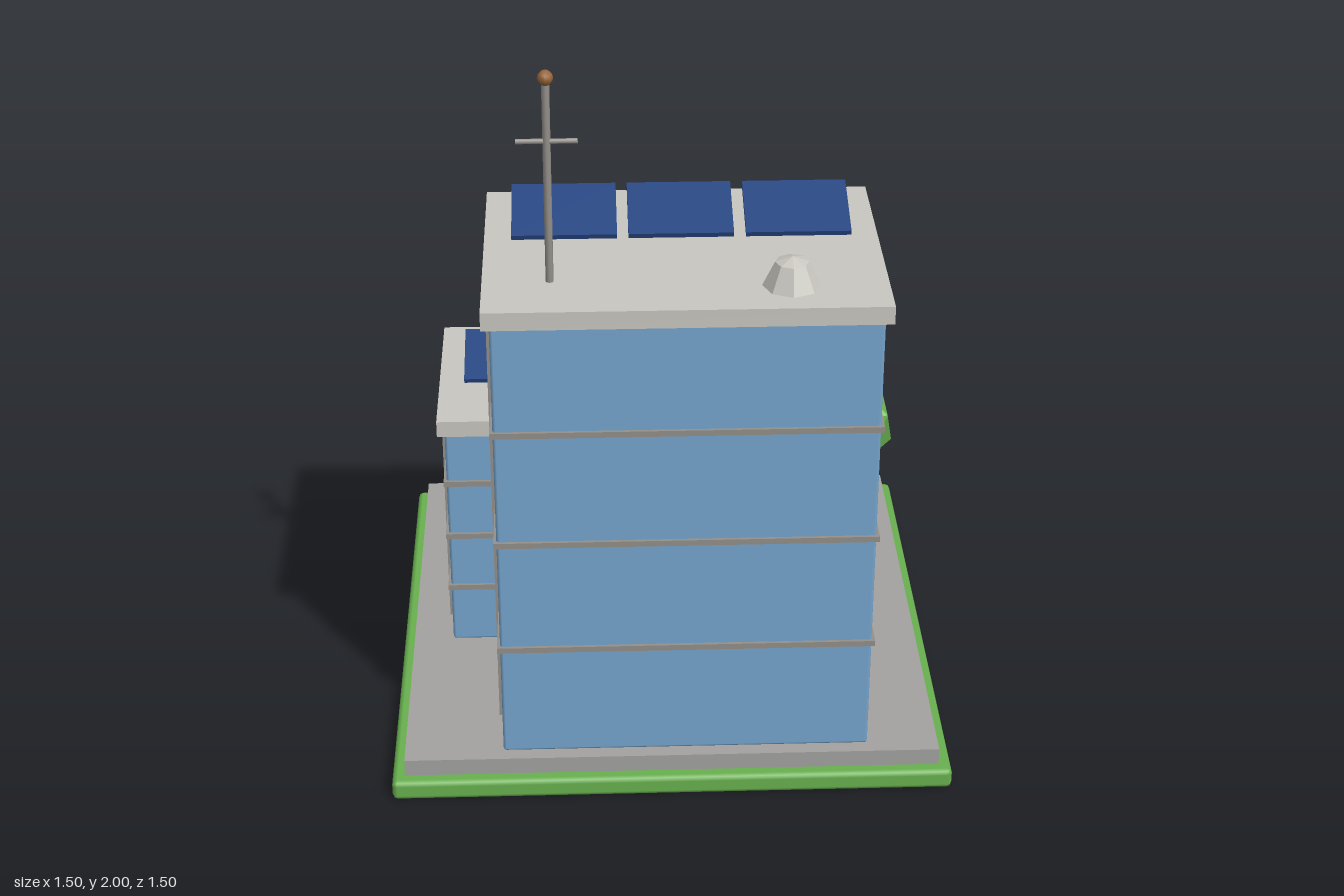
import * as THREE from 'three';
import { RoundedBoxGeometry } from 'three/addons/geometries/RoundedBoxGeometry.js';
import { ConvexGeometry } from 'three/addons/geometries/ConvexGeometry.js';

const material = (name, color) => {
  const m = new THREE.MeshStandardMaterial({ color });
  m.name = name;
  return m;
};

export function createModel() {
  const green = material('leaf green', 0x68b04e);
  const paving = material('paving grey', 0xa3a2a0);
  const glass = material('glass blue', 0x76a5ce);
  const darkGlass = material('entrance blue', 0x4c78b0);
  const concrete = material('roof concrete', 0xc9c7c0);
  const metal = material('metal grey', 0x94908b);
  const solar = material('solar navy', 0x274682);
  const wood = material('wood brown', 0x976639);

  const model = new THREE.Group();
  model.name = 'officeBuilding';

  const add = (parent, name, geometry, mat, x = 0, y = 0, z = 0) => {
    const mesh = new THREE.Mesh(geometry, mat);
    mesh.name = name;
    mesh.position.set(x, y, z);
    parent.add(mesh);
    return mesh;
  };
  const group = (name) => {
    const g = new THREE.Group();
    g.name = name;
    model.add(g);
    return g;
  };
  // Box given by its ranges on each axis; bevel chamfers the edges
  const box = (parent, name, mat, [x0, x1], [y0, y1], [z0, z1], bevel = 0) => {
    const size = [x1 - x0, y1 - y0, z1 - z0];
    const geo = bevel ? new RoundedBoxGeometry(...size, 1, bevel) : new THREE.BoxGeometry(...size);
    return add(parent, name, geo, mat, (x0 + x1) / 2, (y0 + y1) / 2, (z0 + z1) / 2);
  };

  // Ground
  box(model, 'lawnBase', green, [-0.75, 0.75], [0.005, 0.062], [-0.75, 0.75], 0.014);
  box(model, 'pavement', paving, [-0.716, 0.716], [0.06, 0.11], [-0.716, 0.716]);

  // Glass block with floor bands all round and mullions on the back and -x sides
  const block = (name, [x0, x1], [z0, z1], top, floorYs, roofHeight) => {
    const g = group(name);
    box(g, 'glassBody', glass, [x0, x1], [0.11, top], [z0, z1], 0.008);
    box(g, 'roofSlab', concrete, [x0 - 0.02, x1 + 0.02], [top - 0.005, top + roofHeight], [z0 - 0.016, z1 + 0.014]);
    for (const y of floorYs) {
      box(g, 'floorBand', metal, [x0 - 0.008, x1 + 0.008], [y - 0.008, y + 0.008], [z0 - 0.008, z1 + 0.008]);
    }
    for (const t of [0.25, 0.5, 0.75]) {
      const x = x0 + (x1 - x0) * t;
      const z = z0 + (z1 - z0) * t;
      box(g, 'backMullion', metal, [x - 0.007, x + 0.007], [0.11, top], [z0 - 0.012, z0 + 0.006]);
      box(g, 'sideMullion', metal, [x0 - 0.014, x0 + 0.006], [0.11, top], [z - 0.007, z + 0.007]);
    }
  };
  block('tower', [-0.452, 0.525], [0, 0.682], 1.392, [0.439, 0.762, 1.086], 0.044);
  block('annex', [-0.605, 0.07], [-0.38, 0.15], 0.79, [0.29, 0.46, 0.63], 0.042);

  // Entrance pavilion
  const entrance = group('entrance');
  box(entrance, 'entranceBody', darkGlass, [0.19, 0.56], [0.11, 0.492], [-0.32, -0.06], 0.008);
  box(entrance, 'entranceRoof', concrete, [0.165, 0.585], [0.49, 0.526], [-0.34, -0.042]);
  box(entrance, 'entrancePanel', metal, [0.3, 0.45], [0.235, 0.476], [-0.355, -0.318]);

  // Tilted solar panels
  const panels = group('solarPanels');
  const panelSpots = [
    [-0.265, 1.491, 0.23], [0.035, 1.491, 0.23], [0.337, 1.491, 0.23],
    [-0.418, 0.89, -0.11], [-0.132, 0.89, -0.11],
  ];
  for (const p of panelSpots) {
    add(panels, 'solarPanel', new THREE.BoxGeometry(0.271, 0.014, 0.197), solar, ...p).rotation.x = 0.31;
  }

  // Mast with crossbar and tip
  const mast = group('mast');
  add(mast, 'mastPole', new THREE.CylinderGeometry(0.01, 0.01, 0.55, 8), metal, -0.302, 1.705, 0.525);
  add(mast, 'mastCrossbar', new THREE.CylinderGeometry(0.007, 0.007, 0.152, 8), metal, -0.302, 1.815, 0.525)
    .rotation.z = Math.PI / 2;
  add(mast, 'mastTip', new THREE.SphereGeometry(0.02, 8, 6), wood, -0.302, 1.98, 0.525);

  // Faceted roof vent
  const ventProfile = [[0.075, 0], [0.043, 0.066], [0, 0.08]].map(([r, y]) => new THREE.Vector2(r, y));
  const vent = new THREE.LatheGeometry(ventProfile, 8).toNonIndexed();
  vent.computeVertexNormals();
  add(model, 'roofVent', vent, concrete, 0.3, 1.434, 0.565);

  // Icosahedral foliage standing on its pole
  const foliage = (r) => {
    const points = [new THREE.Vector3(0, r, 0), new THREE.Vector3(0, -r, 0)];
    for (let i = 0; i < 10; i++) {
      const a = (i * Math.PI) / 5;
      const y = (i % 2 ? 1 : -1) * 0.447 * r;
      points.push(new THREE.Vector3(Math.cos(a) * 0.894 * r, y, Math.sin(a) * 0.894 * r));
    }
    return new ConvexGeometry(points);
  };

  // Tree
  const tree = group('tree');
  add(tree, 'trunk', new THREE.CylinderGeometry(0.026, 0.026, 0.2, 8), wood, 0.6, 0.21, -0.57);
  add(tree, 'crown', foliage(0.14), green, 0.6, 0.39, -0.57);

  // Planter with bushes, and bench
  const garden = group('garden');
  box(garden, 'planter', wood, [-0.57, -0.117], [0.108, 0.17], [-0.683, -0.457]);
  for (const x of [-0.418, -0.23]) add(garden, 'bush', foliage(0.073), green, x, 0.215, -0.57);
  box(garden, 'bench', wood, [0.015, 0.278], [0.108, 0.165], [-0.626, -0.557]);

  return model;
}
